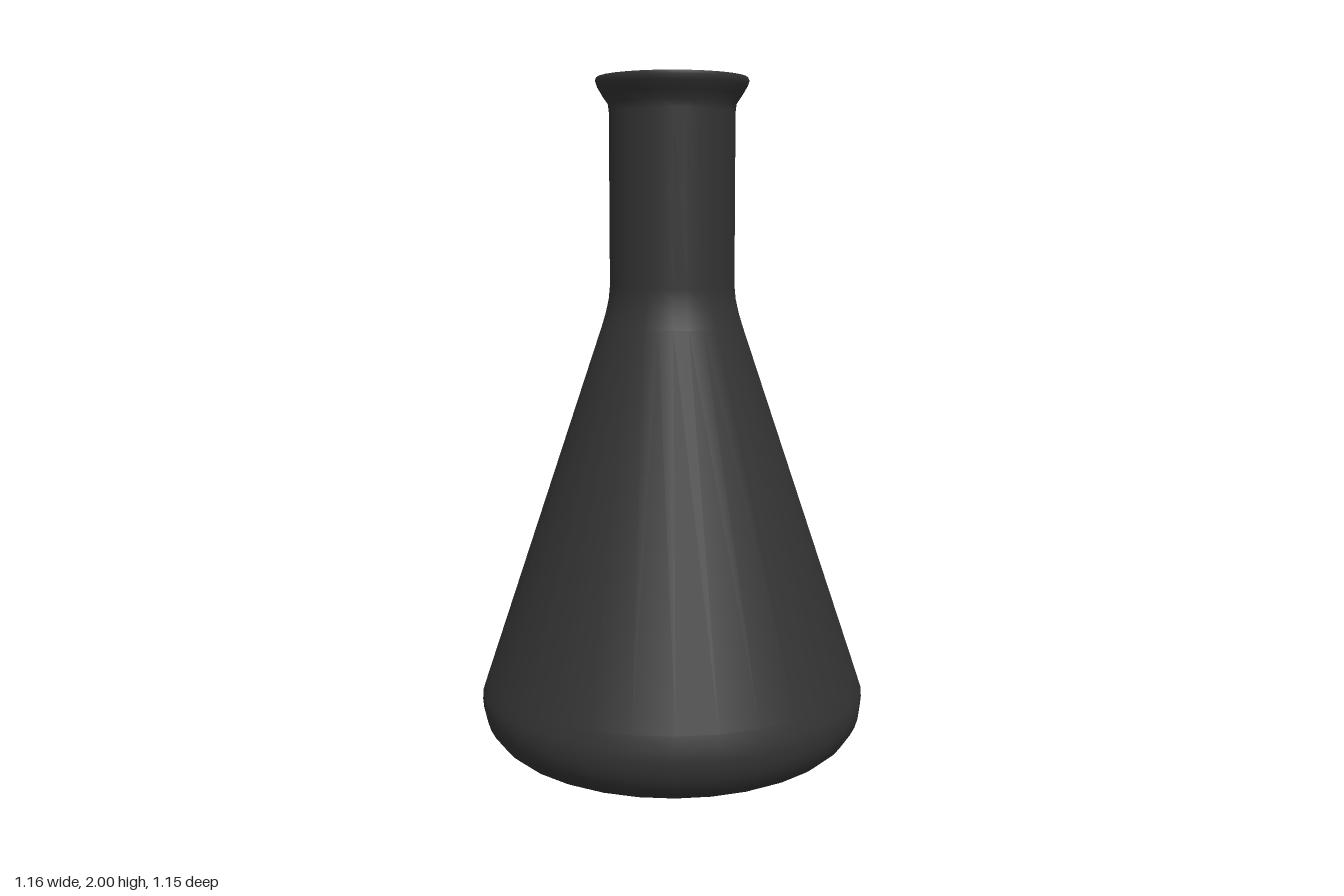
import * as THREE from 'three';

const SIDES = 30;
const glass = new THREE.MeshStandardMaterial({ color: 0x333333, side: THREE.DoubleSide });

// Revolves a profile of [radius, height] points, with a corner on the x axis
function revolve(name, points) {
  const profile = points.map(([r, y]) => new THREE.Vector2(r, y));
  const mesh = new THREE.Mesh(new THREE.LatheGeometry(profile, SIDES, Math.PI / 2), glass);
  mesh.name = name;
  return mesh;
}

export function createModel() {
  const flask = new THREE.Group();
  flask.name = 'conicalFlask';

  // Rounded heel between the flat base and the sloping wall
  const heel = [];
  for (let i = 0; i <= 8; i++) {
    const a = (i / 8) * Math.PI / 2;
    heel.push([0.43 + 0.15 * Math.sin(a), 0.15 - 0.15 * Math.cos(a)]);
  }

  // Base, cone, neck and flared outside of the lip
  flask.add(revolve('body', [
    [0, 0], [0.42, 0], ...heel,
    [0.578, 0.18], [0.565, 0.22], [0.21, 1.28], [0.198, 1.32], [0.189, 1.36], [0.185, 1.4],
    [0.185, 1.9], [0.188, 1.925], [0.205, 1.95], [0.22, 1.975], [0.225, 1.99], [0.221, 2],
  ]));

  // Flat top of the lip, then its inner slope
  flask.add(revolve('lipTop', [[0.221, 2], [0.205, 1.998]]));
  flask.add(revolve('lipInside', [[0.205, 1.998], [0.185, 1.975]]));

  // Disc closing the mouth
  const mouth = new THREE.Mesh(new THREE.CircleGeometry(0.185, SIDES), glass);
  mouth.name = 'mouthDisc';
  mouth.rotation.x = -Math.PI / 2;
  mouth.position.y = 1.975;
  flask.add(mouth);

  return flask;
}
